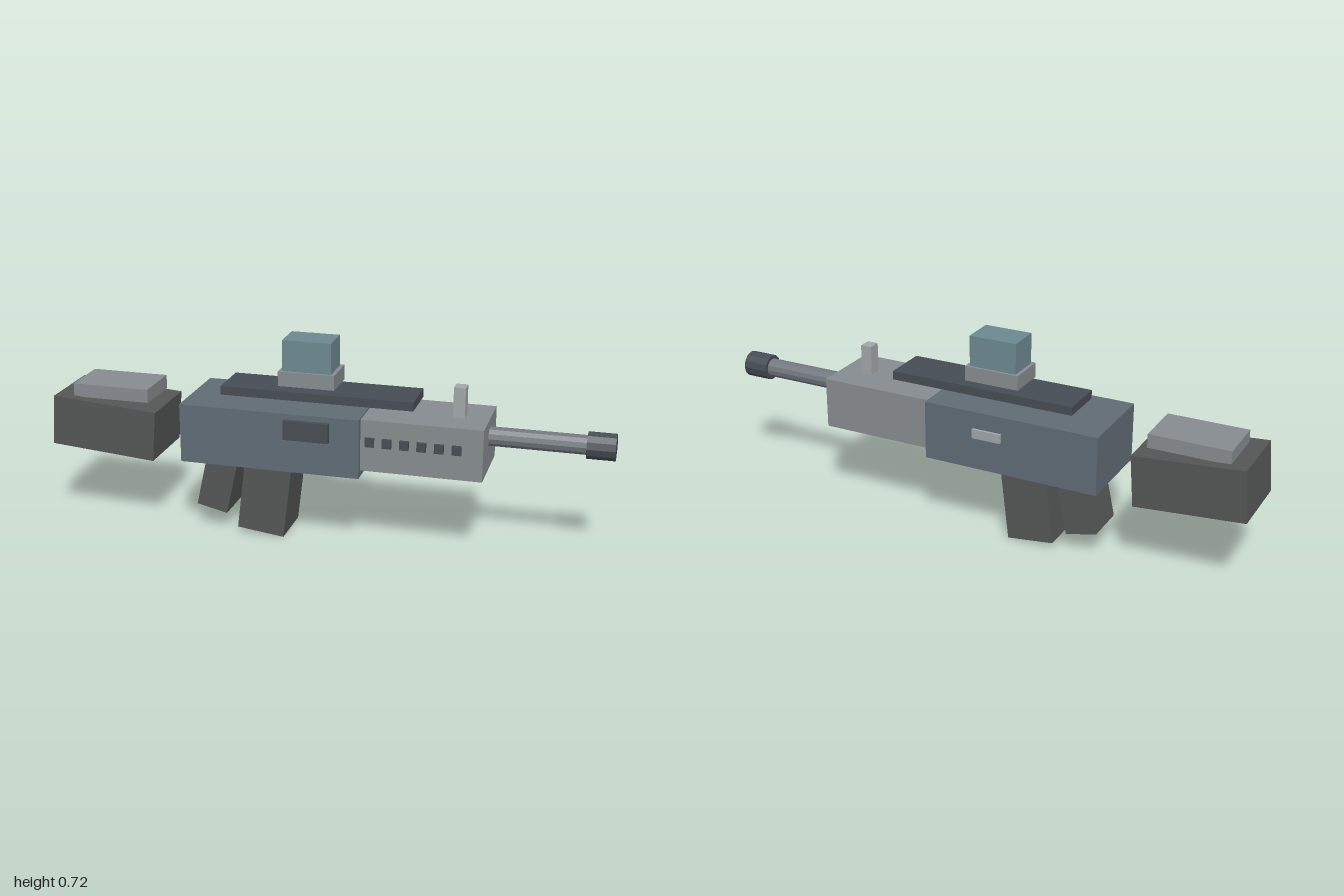
import * as THREE from 'three';

const Z = -0.002; // shared centre line

function mat(color) {
  return new THREE.MeshStandardMaterial({ color, flatShading: true });
}
const STEEL = mat(0x5f6b75), GREY = mat(0x868b8f), DARK = mat(0x464c54);
const GRIP = mat(0x545656), GLASS = mat(0x6c8890), LIGHT = mat(0xa0a5a8), BARREL = mat(0x70777d);

export function createModel() {
  const model = new THREE.Group();
  model.name = 'rifle';

  const add = (name, geometry, material, x, y, z = Z, tilt = 0) => {
    const mesh = new THREE.Mesh(geometry, material);
    mesh.name = name;
    mesh.position.set(x, y, z);
    mesh.rotation.z = tilt;
    model.add(mesh);
    return mesh;
  };
  // axis-aligned box given by its extents
  const box = (name, material, x0, x1, y0, y1, z0, z1) =>
    add(name, new THREE.BoxGeometry(x1 - x0, y1 - y0, z1 - z0), material,
      (x0 + x1) / 2, (y0 + y1) / 2, (z0 + z1) / 2);
  // cylinder lying along x
  const rod = (name, material, x0, x1, r) =>
    add(name, new THREE.CylinderGeometry(r, r, x1 - x0, 12).rotateZ(-Math.PI / 2), material, (x0 + x1) / 2, 0.423);
  // tilted box hanging up from the middle of its bottom edge
  const leg = (name, w, h, d, x, y, tilt) =>
    add(name, new THREE.BoxGeometry(w, h, d).translate(0, h / 2, 0), GRIP, x, y, Z, tilt);

  // body
  box('receiver', STEEL, -0.494, 0.152, 0.28, 0.492, -0.16, 0.156);
  box('handguard', GREY, 0.15, 0.574, 0.303, 0.487, -0.135, 0.132);
  rod('barrel', BARREL, 0.55, 0.91, 0.034);
  rod('muzzle', DARK, 0.904, 1.0, 0.047);

  // stock and cheek pad
  add('stock', new THREE.BoxGeometry(0.389, 0.183, 0.26), GRIP, -0.8, 0.364, Z, -0.08);
  box('cheekPad', GREY, -0.925, -0.64, 0.462, 0.511, -0.094, 0.09);

  // grip and magazine, reaching into the receiver
  leg('magazine', 0.172, 0.32, 0.184, -0.225, 0.011, -0.12);
  leg('grip', 0.115, 0.26, 0.16, -0.412, 0.077, -0.22);

  // top rail and sights
  box('rail', DARK, -0.367, 0.323, 0.515, 0.546, -0.085, 0.081);
  box('sightMount', GREY, -0.16, 0.042, 0.56, 0.613, -0.072, 0.068);
  box('sightHousing', GLASS, -0.147, 0.028, 0.613, 0.723, -0.062, 0.058);
  box('frontSight', LIGHT, 0.449, 0.49, 0.485, 0.593, -0.025, 0.022);

  // side details
  box('sidePanel', DARK, -0.112, 0.048, 0.403, 0.472, 0.15, 0.173);
  box('chargingHandle', LIGHT, -0.142, -0.035, 0.398, 0.431, -0.17, -0.155);
  for (let i = 0; i < 6; i++) {
    const x = 0.185 + i * 0.06;
    box('vent', DARK, x - 0.016, x + 0.016, 0.394, 0.426, 0.125, 0.143);
  }
  return model;
}
